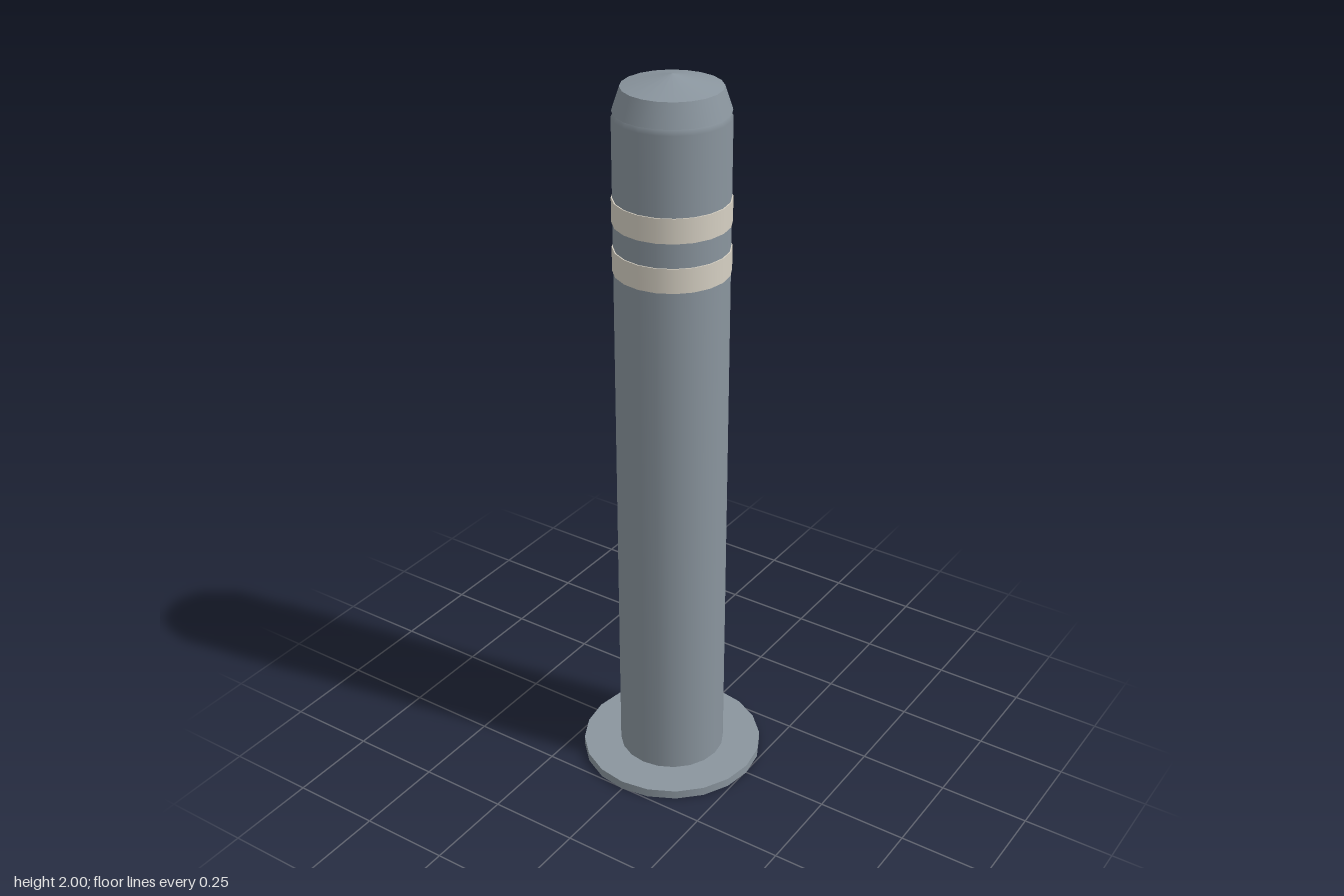
import * as THREE from 'three';

const SIDES = 20;

export function createModel() {
  const group = new THREE.Group();
  const steel = new THREE.MeshStandardMaterial({ color: 0x8a959e });
  steel.name = 'blue grey steel';
  const cream = new THREE.MeshStandardMaterial({ color: 0xd6d0c3 });
  cream.name = 'cream band';

  const add = (name, geometry, material, y = 0) => {
    const mesh = new THREE.Mesh(geometry, material);
    mesh.name = name;
    mesh.position.y = y;
    group.add(mesh);
  };
  // Round section standing between two heights
  const drum = (name, rTop, rBottom, y0, y1, material) =>
    add(name, new THREE.CylinderGeometry(rTop, rBottom, y1 - y0, SIDES), material, (y0 + y1) / 2);

  drum('basePlate', 0.254, 0.254, 0, 0.025, steel);

  // Post with softly turned-in ends
  const profile = [[0.135, 0.01], [0.148, 0.025], [0.148, 1.895], [0.136, 1.912]]
    .map(([r, y]) => new THREE.Vector2(r, y));
  add('post', new THREE.LatheGeometry(profile, SIDES), steel);

  // Two thin bands near the top
  drum('lowerBand', 0.151, 0.151, 1.495, 1.56, cream);
  drum('upperBand', 0.151, 0.151, 1.625, 1.69, cream);

  // Overhanging cap with a shallow pointed top
  drum('capCollar', 0.127, 0.147, 1.91, 1.97, steel);
  add('capTop', new THREE.ConeGeometry(0.127, 0.03, SIDES, 1, true), steel, 1.985);

  return group;
}
